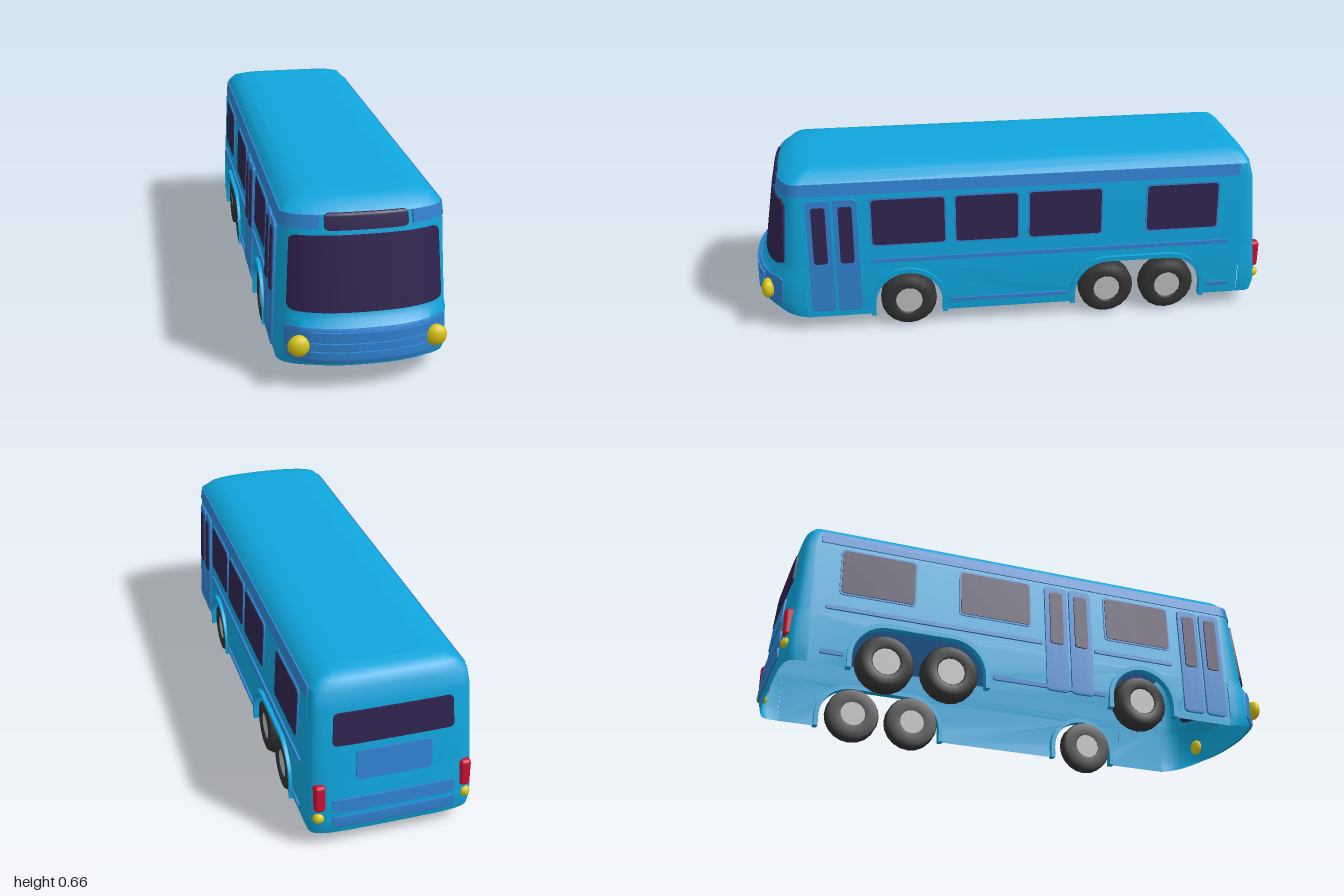
import * as THREE from 'three';
import { toCreasedNormals } from 'three/addons/utils/BufferGeometryUtils.js';
import { RoundedBoxGeometry } from 'three/addons/geometries/RoundedBoxGeometry.js';

const mat = (name, color) => {
  const m = new THREE.MeshStandardMaterial({ color, side: THREE.DoubleSide });
  m.name = name;
  return m;
};

// Body profile by height: y, half width, front z, rear z
const PROFILE = [
  [0.065, 0.295, 0.955, -0.983], [0.1, 0.299, 0.975, -0.992], [0.13, 0.3, 0.985, -0.993],
  [0.235, 0.297, 0.983, -0.985], [0.26, 0.294, 0.957, -0.98], [0.285, 0.293, 0.948, -0.977],
  [0.55, 0.28, 0.905, -0.95], [0.61, 0.272, 0.893, -0.935], [0.64, 0.245, 0.86, -0.915],
  [0.655, 0.2, 0.82, -0.88], [0.66, 0.15, 0.77, -0.84],
];
const FULL_RING = 4; // from this level up the ring includes the side walls

function section(y) {
  let i = 0;
  while (i < PROFILE.length - 2 && y > PROFILE[i + 1][0]) i++;
  const a = PROFILE[i], b = PROFILE[i + 1];
  const t = THREE.MathUtils.clamp((y - a[0]) / (b[0] - a[0]), 0, 1);
  const [, w, zf, zr] = a.map((v, k) => v + (b[k] - v) * t);
  return { w, zf, zr };
}
const bow = (u, n) => 1 - Math.pow(Math.max(0, 1 - Math.pow(Math.min(1, Math.abs(u)), n)), 1 / n);
const frontZ = (u, s) => s.zf - (s.zf - Math.min(0.8, s.zf - 0.08)) * bow(u, 2.4);
const rearZ = (u, s) => s.zr + (Math.max(-0.9, s.zr + 0.05) - s.zr) * bow(u, 5);

// Points on the body skin, pushed outward by o
const onFront = (x, y, o) => { const s = section(y); return [x, y, frontZ(x / s.w, s) + o]; };
const onRear = (a, y, o) => { const s = section(y); return [-a, y, rearZ(a / s.w, s) - o]; };
const onSide = (a, y, o) => [section(y).w + o, y, -a];
const onCorner = (a, y, o) => {
  const s = section(y), u = Math.sin(a);
  return [s.w * u + o * u, y, frontZ(u, s) + o * Math.cos(a)];
};

function gridGeometry(points, cols, rows, keep = () => true) {
  const index = [];
  for (let j = 0; j < rows - 1; j++) for (let i = 0; i < cols - 1; i++) {
    if (!keep(i, j)) continue;
    const a = j * cols + i, b = a + cols;
    index.push(a, a + 1, b + 1, a, b + 1, b);
  }
  const g = new THREE.BufferGeometry();
  g.setAttribute('position', new THREE.Float32BufferAttribute(points, 3));
  g.setIndex(index);
  g.computeVertexNormals();
  return toCreasedNormals(g, 0.6);
}

// Raised plate following the skin, with rounded corners r and optional narrowing at the top
function plate(at, a0, a1, y0, y1, off, r = 0.012, taper = 0, n = 2) {
  const ts = [0, 0, 0.3, 0.7, 1].map(t => y0 + t * r);
  ts.push(...[1, 0.7, 0.3, 0, 0].map(t => y1 - t * r));
  const pts = [], cols = n + 3, mid = (a0 + a1) / 2;
  ts.forEach((y, j) => {
    const d = Math.max(0, r - Math.min(y - y0, y1 - y));
    const inset = r - Math.sqrt(Math.max(0, r * r - d * d));
    const half = (a1 - a0) / 2 - inset - taper * (y - y0) / (y1 - y0);
    for (let i = 0; i < cols; i++) {
      const t = THREE.MathUtils.clamp((i - 1) / n, 0, 1);
      const edge = i === 0 || i === cols - 1 || j === 0 || j === ts.length - 1;
      pts.push(...at(mid + half * (2 * t - 1), y, edge ? Math.min(0, off) : off));
    }
  });
  return gridGeometry(pts, cols, ts.length);
}

// Lofted shell: bowed front, rounded rear, open underneath
function shellGeometry() {
  const N = 32, pts = [], cols = 2 * (N + 1) + 1;
  PROFILE.forEach(([y, w, zf, zr], l) => {
    const s = { w, zf, zr }, ring = [];
    for (let i = 0; i <= N; i++) {
      const u = Math.sin((i / N - 0.5) * Math.PI);
      ring.push([w * u, y + (l === 0 ? 0.03 * (1 - bow(u, 2.4)) : 0), frontZ(u, s)]);
    }
    for (let i = N; i >= 0; i--) {
      const u = Math.sin((i / N - 0.5) * Math.PI);
      ring.push([w * u, y, rearZ(u, s)]);
    }
    ring.push(ring[0]);
    ring.forEach(p => pts.push(...p));
  });
  return gridGeometry(pts, cols, PROFILE.length,
    (i, j) => j >= FULL_RING || (i !== N && i !== cols - 2));
}

// Wheel opening outline, drawn with horizontal axis = -z
function arch(zA, zB, r, base) {
  const p = [new THREE.Vector2(-zA - r, base)];
  for (let i = 0; i <= 8; i++) { const t = i / 16 * Math.PI; p.push(new THREE.Vector2(-zA - r * Math.cos(t), 0.11 + r * Math.sin(t))); }
  for (let i = 0; i <= 8; i++) { const t = i / 16 * Math.PI; p.push(new THREE.Vector2(-zB + r * Math.sin(t), 0.11 + r * Math.cos(t))); }
  p.push(new THREE.Vector2(-zB + r, base));
  return p;
}
const ARCHES = [[0.41, 0.41], [-0.37, -0.615]];

export function createModel() {
  const paint = mat('bright blue paint', 0x0fa5dc), trim = mat('mid blue trim', 0x3083d0);
  const glass = mat('dark glass', 0x30244f), rubber = mat('tyre rubber', 0x333333);
  const metal = mat('hub grey', 0xbdbdbd), yellow = mat('lamp yellow', 0xd9c414), red = mat('lamp red', 0xcc1133);
  const bus = new THREE.Group();
  bus.name = 'bus';
  const add = (parent, name, geo, m, x = 0, y = 0, z = 0) => {
    const mesh = new THREE.Mesh(geo, m);
    mesh.name = name;
    mesh.position.set(x, y, z);
    parent.add(mesh);
    return mesh;
  };

  add(bus, 'bodyShell', shellGeometry(), paint);
  // Flat middle of the roof
  const top = PROFILE[PROFILE.length - 1], roof = [];
  const ts = { w: top[1], zf: top[2], zr: top[3] };
  for (const fn of [frontZ, rearZ]) for (let i = 0; i <= 32; i++) {
    const u = Math.sin((i / 32 - 0.5) * Math.PI);
    roof.push(ts.w * u, top[0], fn(u, ts));
  }
  add(bus, 'roofPanel', gridGeometry(roof, 33, 2), paint);
  add(bus, 'floor', new THREE.PlaneGeometry(0.565, 1.55).rotateX(Math.PI / 2), trim, 0, 0.34, -0.155);

  // Front: windscreen, sign, bumper and grille
  add(bus, 'windscreen', plate(onFront, -0.267, 0.267, 0.285, 0.542, 0.009, 0.02, 0.014, 28), glass);
  add(bus, 'windscreenInside', plate(onFront, -0.25, 0.25, 0.29, 0.535, -0.006, 0.02, 0.014, 28), glass);
  add(bus, 'destinationSign', plate(onFront, -0.141, 0.141, 0.56, 0.615, 0.008, 0.014, 0, 12), glass);
  add(bus, 'bumperPanel', plate(onFront, -0.278, 0.278, 0.112, 0.238, 0.007, 0.02, 0, 32), trim);
  [[0.194, 0.228], [0.164, 0.188], [0.124, 0.157]].forEach(([a, b]) =>
    add(bus, 'grilleSlat', plate(onFront, -0.2, 0.2, a, b, 0.015, 0.008, 0, 16), trim));

  // Rear: window, panel and slats
  add(bus, 'rearWindow', plate(onRear, -0.215, 0.215, 0.415, 0.535, 0.006, 0.015, 0.006, 8), glass);
  add(bus, 'rearPanel', plate(onRear, -0.135, 0.135, 0.275, 0.385, 0.006, 0.012, 0, 4), trim);
  [[0.158, 0.208], [0.095, 0.14]].forEach(([a, b]) =>
    add(bus, 'rearSlat', plate(onRear, -0.22, 0.22, a, b, 0.007, 0.01, 0, 8), trim));

  // Each side is built at +x and mirrored for the other
  const tyre = new THREE.LatheGeometry([[0.05, 0.23], [0.1, 0.225], [0.108, 0.24], [0.108, 0.278], [0.095, 0.298],
    [0.06, 0.301], [0.05, 0.29]].map(p => new THREE.Vector2(...p)), 20).rotateZ(-Math.PI / 2);
  const hub = new THREE.CylinderGeometry(0.052, 0.052, 0.06, 14).rotateZ(-Math.PI / 2);

  for (const s of [1, -1]) {
    const side = new THREE.Group();
    side.name = s > 0 ? 'leftSide' : 'rightSide';
    side.scale.x = s;
    bus.add(side);

    // Lower skirt with wheel openings, and arch lips
    const outline = [new THREE.Vector2(-0.8, 0.065)];
    ARCHES.forEach(([a, b]) => outline.push(...arch(a, b, 0.13, 0.065)));
    outline.push(new THREE.Vector2(0.9, 0.065), new THREE.Vector2(0.9, 0.26), new THREE.Vector2(-0.8, 0.26));
    const skirt = new THREE.ShapeGeometry(new THREE.Shape(outline)).rotateY(Math.PI / 2);
    const pos = skirt.attributes.position;
    for (let i = 0; i < pos.count; i++) pos.setX(i, section(pos.getY(i)).w);
    skirt.computeVertexNormals();
    add(side, 'skirt', skirt, paint);
    ARCHES.forEach(([a, b]) => {
      const lip = new THREE.Shape([...arch(a, b, 0.147, 0.063), ...arch(a, b, 0.129, 0.063).reverse()]);
      const geo = new THREE.ExtrudeGeometry(lip, { depth: 0.03, bevelEnabled: false }).rotateY(Math.PI / 2);
      add(side, 'wheelArchLip', toCreasedNormals(geo, 0.5), paint, 0.279);
    });

    // Upper band, wrapping the front corner
    add(side, 'upperBand', plate(onSide, -0.8, 0.88, 0.565, 0.61, 0.005, 0.004), trim);
    add(side, 'upperBandCorner', plate(onCorner, 0.6, Math.PI / 2, 0.565, 0.61, 0.005, 0.004, 0, 14), trim);

    // Windows and doors
    const windows = [[0.54, 0.265], [-0.06, -0.338], [-0.52, -0.797]];
    const doors = [[0.782, 0.692], [0.682, 0.592]];
    if (s > 0) windows.push([0.222, -0.015]);
    else doors.push([0.2, 0.108], [0.097, 0.005]);
    for (const [a, b] of windows) {
      add(side, 'windowFrame', plate(onSide, -a - 0.007, -b + 0.007, 0.353, 0.547, 0.005, 0.015), trim);
      add(side, 'window', plate(onSide, -a, -b, 0.36, 0.54, 0.008, 0.012), glass);
    }
    for (const [a, b] of doors) {
      add(side, 'door', plate(onSide, -a, -b, 0.095, 0.548, 0.009, 0.014), trim);
      add(side, 'doorWindow', plate(onSide, -a + 0.019, -b - 0.019, 0.295, 0.522, 0.013, 0.01), glass);
    }

    // Trim rails
    const rails = s > 0 ? [[0.55, -0.85, 0.293]] : [[0.55, 0.21, 0.293], [-0.005, -0.85, 0.293]];
    rails.push([0.25, -0.21, 0.11], [-0.775, -0.86, 0.11]);
    rails.forEach(([a, b, y]) =>
      add(side, 'sideRail', plate(onSide, -a, -b, y - 0.008, y + 0.008, 0.008, 0.005), trim));

    // Wheels
    for (const z of [0.41, -0.37, -0.615]) {
      const wheel = new THREE.Group();
      wheel.name = 'wheel';
      wheel.position.set(0, 0.113, z);
      side.add(wheel);
      add(wheel, 'tyre', tyre, rubber);
      add(wheel, 'hub', hub, metal, 0.264);
    }

    // Lamps
    const lamp = add(side, 'headlight', new THREE.SphereGeometry(0.039, 12, 8), yellow, 0.235, 0.174, 0.948);
    lamp.scale.z = 0.65;
    add(side, 'tailLamp', new RoundedBoxGeometry(0.04, 0.105, 0.04, 2, 0.012), red, 0.262, 0.218, -0.968);
    add(side, 'rearIndicator', new THREE.SphereGeometry(0.021, 10, 8), yellow, 0.266, 0.136, -0.973);
  }
  return bus;
}
